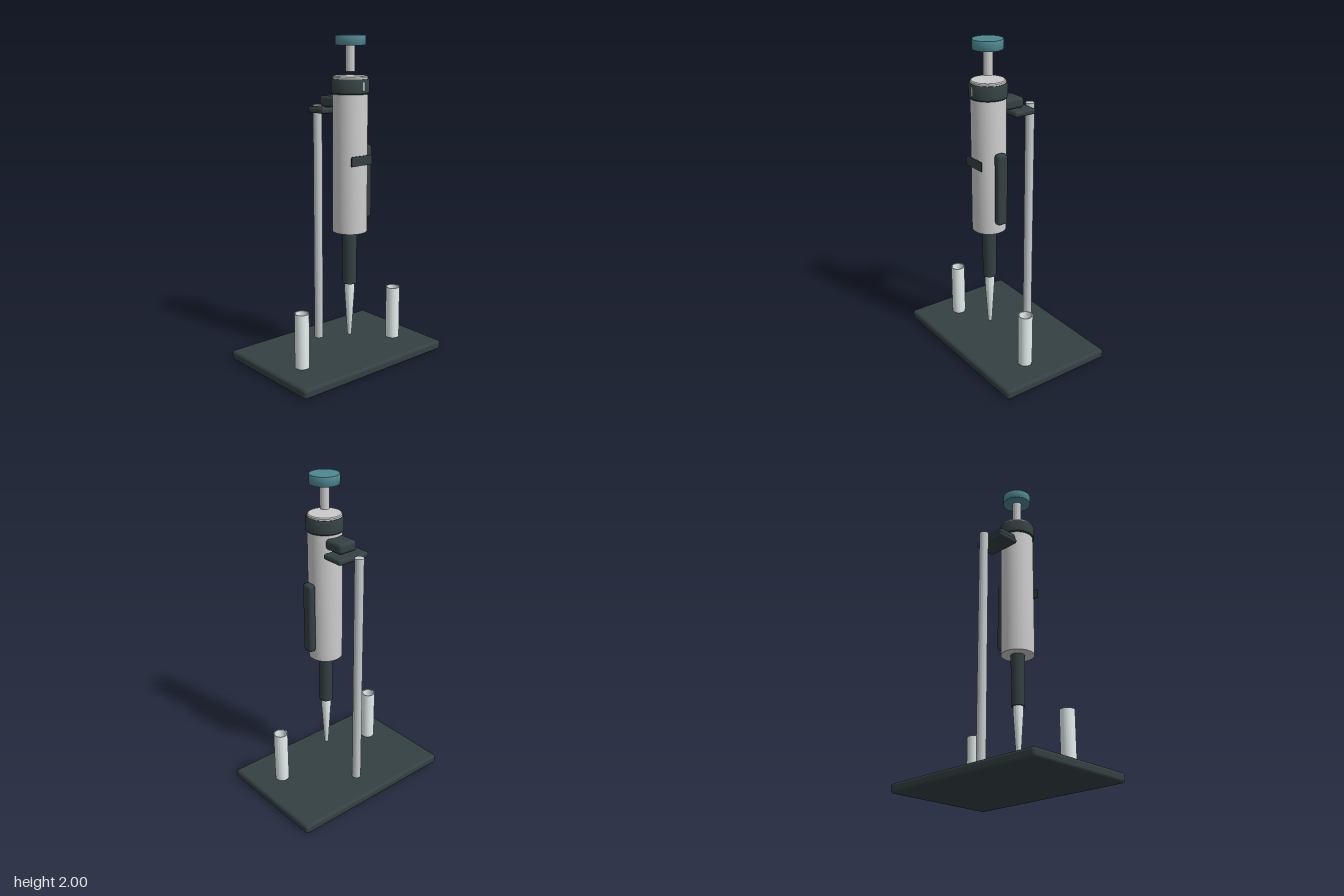
import * as THREE from 'three';
import { toCreasedNormals } from 'three/addons/utils/BufferGeometryUtils.js';
import { RoundedBoxGeometry } from 'three/addons/geometries/RoundedBoxGeometry.js';

const AXIS_Z = 0.1125; // vertical axis of the pipette and the tubes

const paint = (color, side = THREE.FrontSide) => new THREE.MeshStandardMaterial({ color, side });

export function createModel() {
  const model = new THREE.Group();
  const dark = paint(0x344043);
  const shell = paint(0xcccccc);
  const steel = paint(0xc4cacc);
  const teal = paint(0x4f8790);
  const clear = paint(0xe6efef, THREE.DoubleSide);
  const liquid = paint(0xa0d8e2);

  const add = (name, geometry, material, x, y, z) => {
    const mesh = new THREE.Mesh(geometry, material);
    mesh.name = name;
    mesh.position.set(x, y, z);
    model.add(mesh);
    return mesh;
  };
  // Rounded box spanning the given limits
  const block = (name, [x0, x1], [y0, y1], [z0, z1], radius, material) =>
    add(name, new RoundedBoxGeometry(x1 - x0, y1 - y0, z1 - z0, 4, radius), material,
      (x0 + x1) / 2, (y0 + y1) / 2, (z0 + z1) / 2);
  // Turned part from [radius, height] pairs, listed from bottom to top
  const turned = (name, profile, material, x = 0, z = AXIS_Z) => {
    const points = profile.map(([r, y]) => new THREE.Vector2(r, y));
    return add(name, toCreasedNormals(new THREE.LatheGeometry(points, 48), 0.6), material, x, 0, z);
  };

  // Stand
  block('base', [-0.56, 0.56], [0, 0.06], [-0.375, 0.375], 0.02, dark);
  turned('standPost', [[0, 0.05], [0.028, 0.05], [0.028, 1.58], [0, 1.58]], steel, 0, -0.19);
  block('holderPlate', [-0.112, 0.112], [1.542, 1.578], [-0.15, -0.003], 0.015, dark);
  block('hook', [-0.066, 0.066], [1.58, 1.645], [-0.1, 0.035], 0.02, dark);

  // Pipette body and its fittings
  turned('body', [[0, 0.84], [0.104, 0.84], [0.104, 1.755], [0.103, 1.762], [0.097, 1.768], [0, 1.768]], shell);
  turned('collar', [[0.1, 1.665], [0.108, 1.665], [0.113, 1.672], [0.113, 1.745],
    [0.108, 1.753], [0.1, 1.753]], dark);
  block('collarMark', [-0.007, 0.007], [1.685, 1.738], [0.218, 0.23], 0.004, clear);
  block('sideGrip', [0.1, 0.15], [0.908, 1.356], [0.076, 0.149], 0.02, dark);
  add('displayWindow', new THREE.BoxGeometry(0.16, 0.058, 0.006), dark, 0, 1.281, 0.217);

  // Plunger
  turned('plungerRod', [[0, 1.793], [0.028, 1.793], [0.028, 1.95], [0, 1.95]], shell);
  turned('plungerKnob', [[0, 1.943], [0.089, 1.943], [0.09, 1.945], [0.09, 1.997], [0.088, 2], [0, 2]], teal);

  // Nozzle and hollow tip
  turned('nozzle', [[0, 0.51], [0.042, 0.51], [0.044, 0.845], [0, 0.845]], dark);
  turned('tip', [[0, 0.168], [0.008, 0.17], [0.013, 0.18], [0.031, 0.47], [0.031, 0.515]], clear);

  // Sample tubes, open at the top, with a little liquid
  for (const [side, x] of [['left', 0.375], ['right', -0.375]]) {
    turned(side + 'Tube', [[0, 0.055], [0.042, 0.055], [0.044, 0.09], [0.044, 0.4],
      [0.038, 0.4], [0.038, 0.08], [0, 0.07]], clear, x);
    const dome = [];
    for (let i = 0; i <= 8; i++) {
      const a = (i / 8) * Math.PI / 2;
      dome.push([0.037 * Math.cos(a), 0.16 + 0.037 * Math.sin(a)]);
    }
    turned(side + 'Liquid', [[0, 0.075], [0.037, 0.082], ...dome], liquid, x);
  }
  return model;
}
